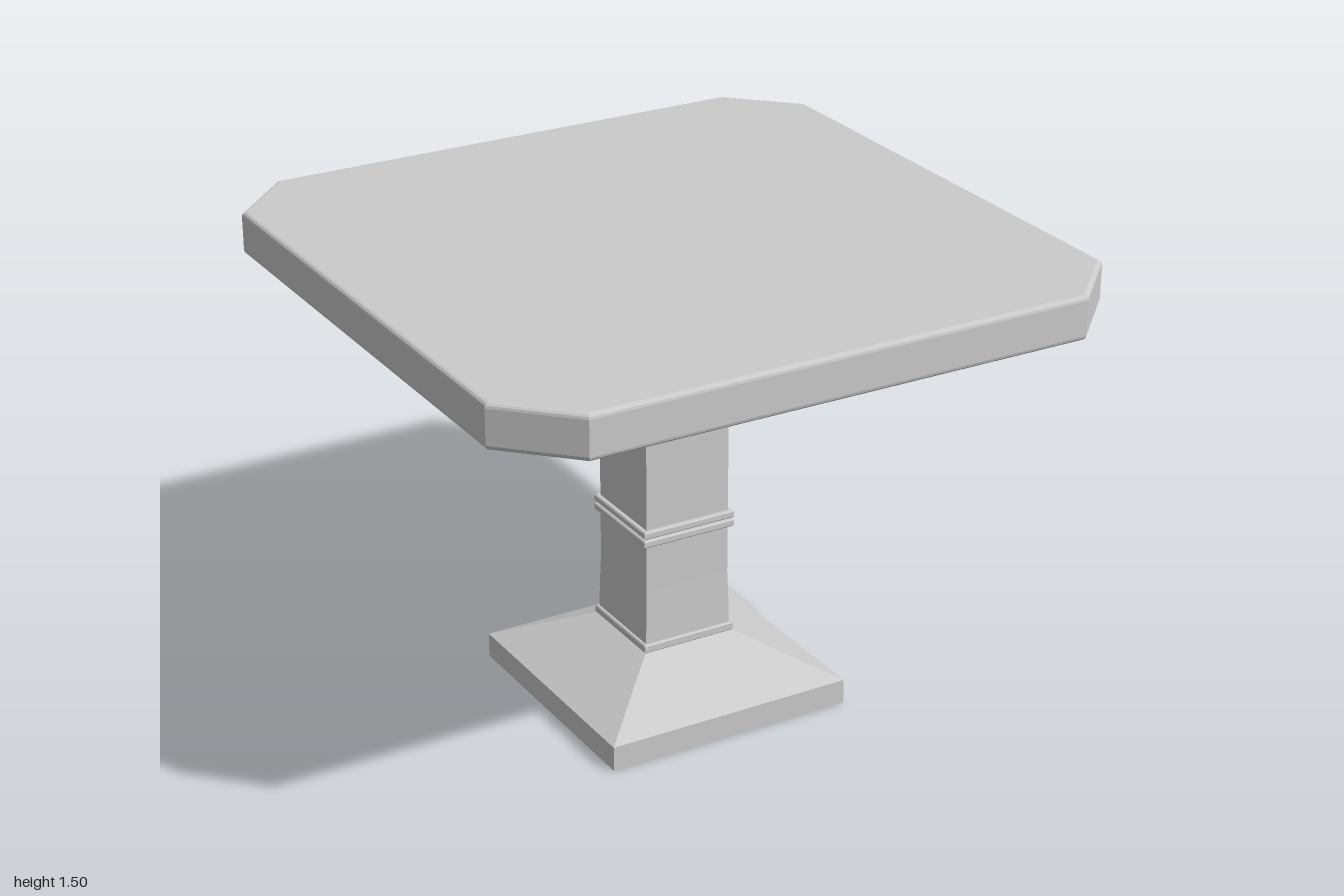
import * as THREE from 'three';

const material = new THREE.MeshStandardMaterial({ color: 0xcccccc, side: THREE.DoubleSide });

// Square-section part swept from a profile of [half width, height] points
function squareTurned(name, profile) {
  const points = profile.map(([w, y]) => new THREE.Vector2(w * Math.SQRT2, y));
  const geometry = new THREE.LatheGeometry(points, 4, Math.PI / 4).toNonIndexed();
  geometry.computeVertexNormals();
  const mesh = new THREE.Mesh(geometry, material);
  mesh.name = name;
  return mesh;
}

// Raised moulding band around the column
function band(name, y0, y1, w = 0.157) {
  const c = 0.004;
  return squareTurned(name, [[0.14, y0], [w - c, y0], [w, y0 + c], [w, y1 - c], [w - c, y1], [0.14, y1]]);
}

// Square top with cut corners and softly rounded edges
function tableTop() {
  const bottom = 1.36, top = 1.497, r = 0.015, h = 1, k = 0.8;
  const outline = [[h, -k], [h, k], [k, h], [-k, h], [-h, k], [-h, -k], [-k, -h], [k, -h]];
  const shape = new THREE.Shape(outline.map(([x, y]) => new THREE.Vector2(x, y)));
  const geometry = new THREE.ExtrudeGeometry(shape, {
    depth: top - bottom - 2 * r, bevelEnabled: true, bevelThickness: r,
    bevelSize: r, bevelOffset: -r, bevelSegments: 3,
  });
  geometry.rotateX(-Math.PI / 2);
  geometry.translate(0, bottom + r, 0);
  const mesh = new THREE.Mesh(geometry, material);
  mesh.name = 'tableTop';
  return mesh;
}

export function createModel() {
  const group = new THREE.Group();
  group.name = 'pedestalTable';

  group.add(tableTop());

  // Flared support under the top
  group.add(squareTurned('topSupport', [[0.143, 1.27], [0.155, 1.27], [0.3, 1.312], [0.49, 1.355], [0.68, 1.357], [0.68, 1.362]]));

  // Column, slightly wider at its foot
  group.add(squareTurned('column', [[0.148, 0.21], [0.146, 0.32], [0.143, 0.41], [0.143, 1.28]]));

  // Mouldings: top, middle pair and bottom
  group.add(band('upperBand', 1.245, 1.262));
  group.add(band('upperLip', 1.262, 1.275));
  group.add(band('middleBandLower', 0.568, 0.592));
  group.add(band('middleBandUpper', 0.597, 0.621));
  group.add(band('lowerBand', 0.207, 0.235));

  // Hollow sloped foot, open underneath
  group.add(squareTurned('base', [[0.408, 0], [0.408, 0.08], [0.157, 0.207], [0.143, 0.21]]));

  return group;
}
